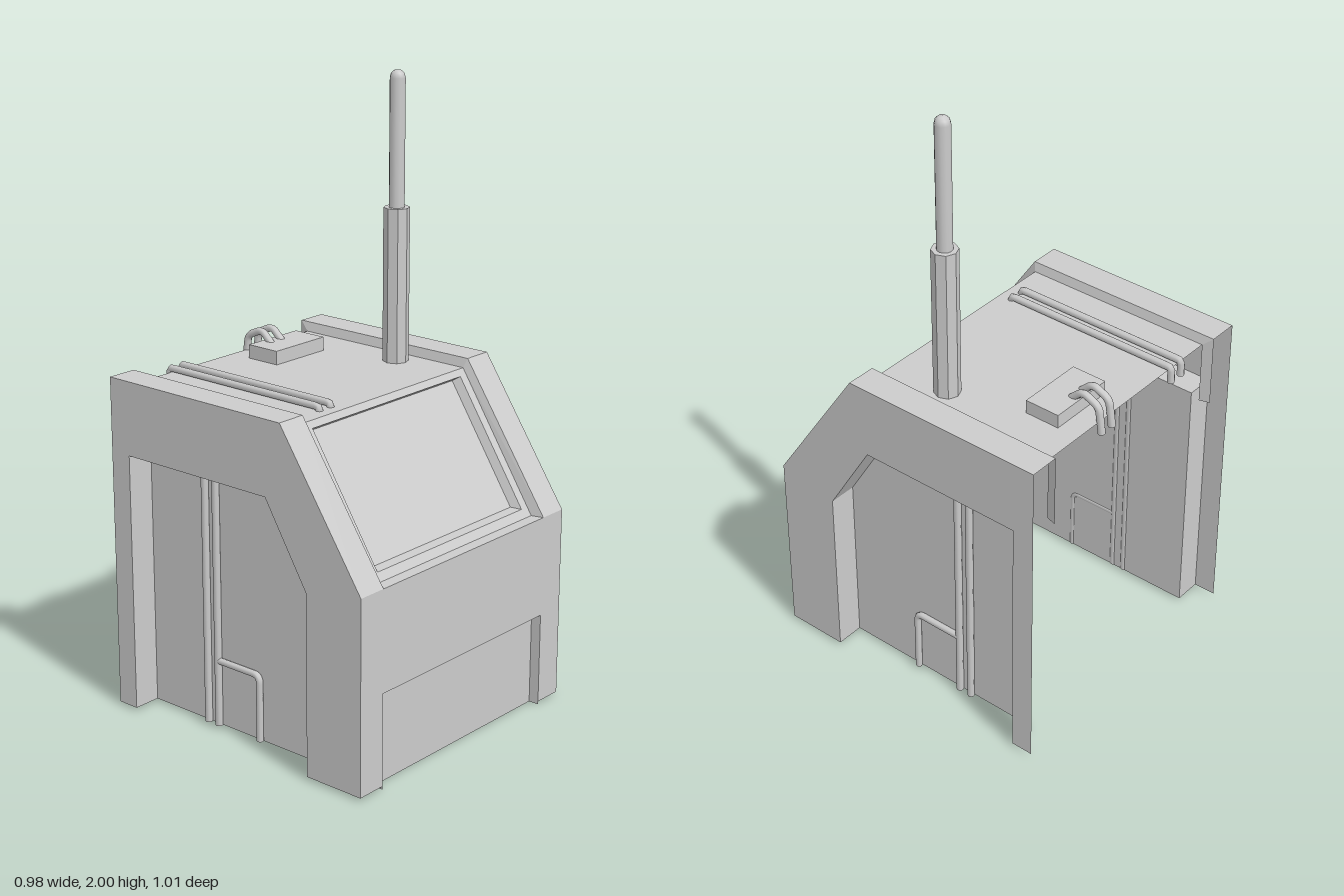
import * as THREE from 'three';

const sheetMat = new THREE.MeshStandardMaterial({ color: 0xcccccc, side: THREE.DoubleSide });
const solidMat = new THREE.MeshStandardMaterial({ color: 0xcccccc });
const facetMat = new THREE.MeshStandardMaterial({ color: 0xcccccc, flatShading: true });

export function createModel() {
  const model = new THREE.Group();
  model.name = 'cab';

  const add = (name, geometry, material = sheetMat) => {
    const mesh = new THREE.Mesh(geometry, material);
    mesh.name = name;
    model.add(mesh);
    return mesh;
  };

  // Flat-faced surface stretched between two polylines with equal point counts
  const ruled = (name, a, b, closed = false) => {
    const pos = [];
    const n = a.length;
    for (let i = 0; i < (closed ? n : n - 1); i++) {
      const j = (i + 1) % n;
      pos.push(...a[i], ...a[j], ...b[j], ...a[i], ...b[j], ...b[i]);
    }
    const g = new THREE.BufferGeometry();
    g.setAttribute('position', new THREE.Float32BufferAttribute(pos, 3));
    g.computeVertexNormals();
    return add(name, g);
  };

  // Points given as [z, y], placed at a fixed x
  const atX = (x, pts) => pts.map(([z, y]) => [x, y, z]);

  // Flat plate in the z-y plane
  const sidePlate = (name, x, pts) => {
    const g = new THREE.ShapeGeometry(new THREE.Shape(pts.map(p => new THREE.Vector2(...p))));
    g.rotateY(-Math.PI / 2).translate(x, 0, 0);
    return add(name, g);
  };

  // Round pipe through corner points, with small rounded bends
  const pipe = (name, pts, r = 0.012, bend = 0.02) => {
    const v = pts.map(p => new THREE.Vector3(...p));
    const path = new THREE.CurvePath();
    let from = v[0];
    for (let i = 1; i < v.length - 1; i++) {
      const cut = other => v[i].clone().add(other.clone().sub(v[i]).setLength(bend));
      const before = cut(v[i - 1]), after = cut(v[i + 1]);
      path.add(new THREE.LineCurve3(from, before));
      path.add(new THREE.QuadraticBezierCurve3(before, v[i], after));
      from = after;
    }
    path.add(new THREE.LineCurve3(from, v[v.length - 1]));
    return add(name, new THREE.TubeGeometry(path, v.length > 2 ? 64 : 1, r, 8), sheetMat);
  };

  // Side profiles as [z, y]
  const doorway = [[-0.43, 0.01], [-0.43, 0.86], [0.14, 0.86], [0.30, 0.60], [0.30, 0.01]];
  const wall = [[0.51, 0.01], [0.51, 0.64], [0.20, 1.10], [-0.505, 1.10], [-0.505, 0.01], ...doorway];
  const rail = [[0.51, 0.64], [0.20, 1.10], [-0.505, 1.10]];
  const railFoot = [[0.47, 0.64], [0.19, 1.07], [-0.47, 1.07]];

  for (const s of [1, -1]) {
    const side = s > 0 ? 'left' : 'right';
    // Outer wall with a doorway recess pressed into it
    sidePlate(`${side}Wall`, s * 0.49, wall);
    ruled(`${side}RecessEdge`, atX(s * 0.49, doorway), atX(s * 0.397, doorway));
    sidePlate(`${side}RecessPanel`, s * 0.397, doorway);

    // Raised rail along windscreen and roof, with a flange at the open back
    ruled(`${side}RailTop`, atX(s * 0.49, rail), atX(s * 0.39, rail));
    ruled(`${side}RailInner`, atX(s * 0.39, rail), atX(s * 0.38, railFoot));
    ruled(`${side}BackFlange`, atX(s * 0.39, [[-0.505, 1.10], [-0.505, 0.86]]),
      atX(s * 0.38, [[-0.47, 1.07], [-0.47, 0.86]]));

    // Pipes inside the recess
    const px = s * 0.405;
    for (const z of [-0.145, -0.19]) pipe(`${side}RecessPipe`, [[px, 0.01, z], [px, 0.86, z]]);
    pipe(`${side}BentPipe`, [[px, 0.01, 0.03], [px, 0.23, 0.03], [px, 0.23, -0.145]], 0.011, 0.025);
  }

  // Front wall with a shallow lower recess
  const arch = (x, y0, y1, z) => [[-x, y0, z], [-x, y1, z], [x, y1, z], [x, y0, z]];
  ruled('frontWall', arch(0.49, 0.01, 0.64, 0.51), arch(0.39, 0.01, 0.31, 0.51));
  ruled('frontRecessEdge', arch(0.39, 0, 0.31, 0.51), arch(0.39, 0, 0.31, 0.475));
  ruled('frontRecessPanel', [[-0.39, 0, 0.475], [0.39, 0, 0.475]], [[-0.39, 0.31, 0.475], [0.39, 0.31, 0.475]]);
  ruled('windscreenLedge', [[-0.39, 0.64, 0.51], [0.39, 0.64, 0.51]], [[-0.39, 0.64, 0.47], [0.39, 0.64, 0.47]]);

  // Sloping windscreen: frame, bevelled edge and sunken pane
  const slope = (x, y0, y1, back) => {
    const z = y => 0.47 - (y - 0.64) * 0.28 / 0.43 - back;
    return [[-x, y0, z(y0)], [x, y0, z(y0)], [x, y1, z(y1)], [-x, y1, z(y1)]];
  };
  const opening = slope(0.35, 0.665, 1.05, 0);
  const pane = slope(0.337, 0.668, 1.035, 0.032);
  ruled('windscreenFrame', slope(0.385, 0.64, 1.07, 0), opening, true);
  ruled('windscreenBevel', opening, pane, true);
  ruled('windscreenPane', [pane[0], pane[1]], [pane[3], pane[2]]);

  // Roof
  ruled('roof', [[-0.38, 1.07, 0.19], [0.38, 1.07, 0.19]], [[-0.38, 1.07, -0.47], [0.38, 1.07, -0.47]]);

  // Long roof pipes, hooked down at both ends
  for (const x of [-0.255, -0.205]) {
    pipe('roofPipe', [[x, 1.06, 0.145], [x, 1.082, 0.145], [x, 1.082, -0.48], [x, 1.03, -0.48]], 0.012, 0.01);
  }

  // Junction box and its cables
  add('junctionBox', new THREE.BoxGeometry(0.225, 0.045, 0.12), solidMat).position.set(0.128, 1.0925, -0.335);
  for (const x of [0.088, 0.137]) {
    pipe('boxCable', [[x, 1.10, -0.355], [x, 1.147, -0.405], [x, 1.12, -0.465], [x, 1.03, -0.478]]);
  }

  // Antenna: thick sleeve and thin rounded mast
  add('antennaSleeve', new THREE.CylinderGeometry(0.042, 0.042, 0.5, 8), facetMat).position.set(0.305, 1.32, -0.025);
  const mast = [[0.025, 1.57], [0.025, 1.975], [0.021, 1.99], [0.012, 1.998], [0, 2]];
  add('antennaMast', new THREE.LatheGeometry(mast.map(p => new THREE.Vector2(...p)), 12), solidMat)
    .position.set(0.305, 0, -0.025);

  return model;
}
